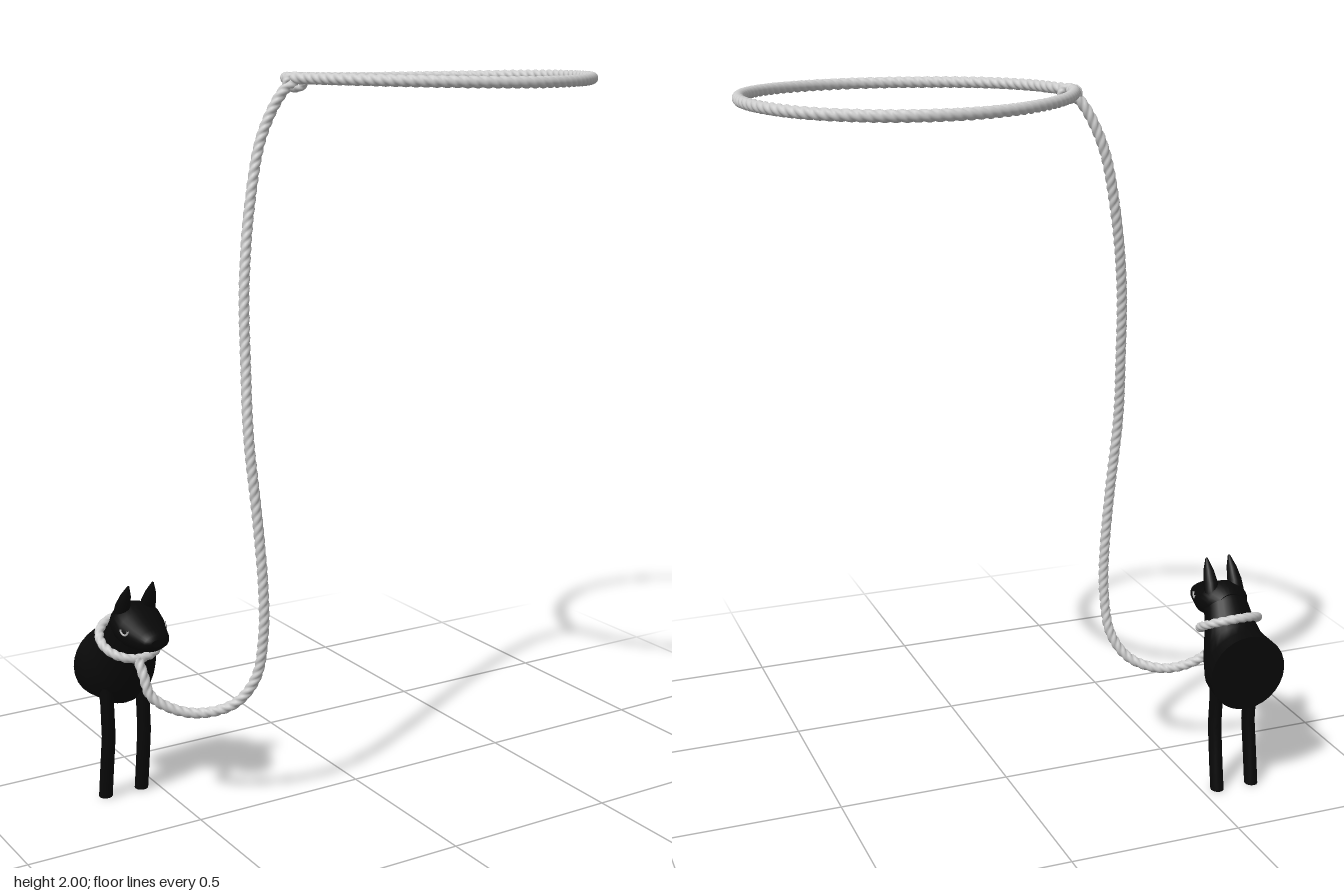
import * as THREE from 'three';
import { mergeVertices } from 'three/addons/utils/BufferGeometryUtils.js';

const CX = -0.602; // animal's centre line
const V = (x, y, z) => new THREE.Vector3(x, y, z);

const ropeMat = new THREE.MeshStandardMaterial({ color: 0xcccccc });
const coatMat = new THREE.MeshStandardMaterial({ color: 0x080808 });
const eyeMat = new THREE.MeshStandardMaterial({ color: 0xbbbbbb });

function mesh(name, geometry, material) {
  const m = new THREE.Mesh(geometry, material);
  m.name = name;
  return m;
}

// Three-strand twisted rope along a curve
function rope(name, points, closed, radius) {
  const curve = new THREE.CatmullRomCurve3(points, closed);
  curve.arcLengthDivisions = 1000;
  const length = curve.getLength();
  const steps = Math.round(length / 0.0048), sides = 18;
  const turns = Math.round(length / 0.078);
  const g = new THREE.TubeGeometry(curve, steps, radius, sides, closed);
  const pos = g.attributes.position, p = V(0, 0, 0);
  for (let i = 0; i <= steps; i++) {
    const c = curve.getPointAt(closed ? (i % steps) / steps : i / steps);
    for (let j = 0; j <= sides; j++) {
      const k = i * (sides + 1) + j;
      const a = (j / sides + (i / steps) * turns) * Math.PI * 2;
      const lobe = 0.78 + 0.24 * Math.abs(Math.cos(1.5 * a));
      p.fromBufferAttribute(pos, k).sub(c).multiplyScalar(lobe).add(c);
      pos.setXYZ(k, p.x, p.y, p.z);
    }
  }
  g.deleteAttribute('uv');
  g.deleteAttribute('normal');
  const welded = mergeVertices(g, 1e-5);
  welded.computeVertexNormals();
  return mesh(name, welded, ropeMat);
}

// Capped loft through elliptical sections: [y1, z1, y2, z2, halfWidth, x]
function loft(name, sections, sides = 20) {
  const pos = [], idx = [], n = sections.length;
  for (const [y1, z1, y2, z2, w, x = 0] of sections) {
    for (let j = 0; j < sides; j++) {
      const a = (j / sides) * Math.PI * 2, c = Math.cos(a) / 2;
      pos.push(CX + x + w * Math.sin(a), (y1 + y2) / 2 + (y1 - y2) * c, (z1 + z2) / 2 + (z1 - z2) * c);
    }
  }
  for (let i = 0; i < n - 1; i++) {
    for (let j = 0; j < sides; j++) {
      const a = i * sides + j, b = i * sides + (j + 1) % sides;
      idx.push(a, a + sides, b, b, a + sides, b + sides);
    }
  }
  // Separate cap rings keep the end edges crisp
  [0, n - 1].forEach((s, end) => {
    const [y1, z1, y2, z2, , x = 0] = sections[s];
    const start = pos.length / 3;
    pos.push(...pos.slice(s * sides * 3, (s + 1) * sides * 3));
    pos.push(CX + x, (y1 + y2) / 2, (z1 + z2) / 2);
    for (let j = 0; j < sides; j++) {
      const a = start + j, b = start + (j + 1) % sides;
      idx.push(start + sides, end ? b : a, end ? a : b);
    }
  });
  const g = new THREE.BufferGeometry();
  g.setAttribute('position', new THREE.Float32BufferAttribute(pos, 3));
  g.setIndex(idx);
  g.computeVertexNormals();
  return mesh(name, g, coatMat);
}

function buildAnimal() {
  const animal = new THREE.Group();
  animal.name = 'animal';

  // Cut-off barrel rising into the neck
  animal.add(loft('bodyAndNeck', [
    [0.49, -0.333, 0.27, -0.333, 0.115],
    [0.495, -0.305, 0.278, -0.25, 0.107],
    [0.502, -0.275, 0.33, -0.205, 0.092],
    [0.53, -0.25, 0.4, -0.175, 0.077],
    [0.565, -0.225, 0.46, -0.155, 0.067],
    [0.59, -0.19, 0.5, -0.14, 0.06],
  ], 28));

  // Head tapering to a blunt muzzle
  animal.add(loft('head', [
    [0.575, -0.215, 0.51, -0.22, 0.04],
    [0.592, -0.195, 0.495, -0.195, 0.063],
    [0.597, -0.165, 0.483, -0.155, 0.073],
    [0.582, -0.125, 0.478, -0.125, 0.069],
    [0.564, -0.085, 0.482, -0.085, 0.056],
    [0.553, -0.05, 0.488, -0.055, 0.046],
    [0.542, -0.032, 0.499, -0.035, 0.036],
    [0.53, -0.026, 0.51, -0.027, 0.018],
  ], 28));

  for (const s of [1, -1]) {
    const side = s > 0 ? 'left' : 'right';
    animal.add(loft(side + 'Ear', [
      [0.57, -0.195, 0.57, -0.148, 0.022, s * 0.038],
      [0.6, -0.18, 0.595, -0.138, 0.02, s * 0.038],
      [0.63, -0.157, 0.625, -0.127, 0.014, s * 0.037],
      [0.658, -0.128, 0.656, -0.122, 0.003, s * 0.036],
    ], 12));

    animal.add(loft(side + 'FrontLeg', [
      [0.34, -0.225, 0.34, -0.275, 0.022, s * 0.054],
      [0.28, -0.232, 0.28, -0.27, 0.019, s * 0.054],
      [0.19, -0.228, 0.19, -0.268, 0.019, s * 0.054],
      [0.08, -0.246, 0.08, -0.286, 0.019, s * 0.055],
      [0, -0.26, 0, -0.3, 0.019, s * 0.055],
    ], 12));

    // Lowered eyelid
    const lid = new THREE.TorusGeometry(0.014, 0.003, 8, 16, Math.PI);
    lid.rotateZ(Math.PI).rotateY(s * (Math.PI / 2 - 0.34));
    const eye = mesh(side + 'Eye', lid, eyeMat);
    eye.position.set(CX + s * 0.061, 0.545, -0.105);
    animal.add(eye);
  }
  return animal;
}

export function createModel() {
  const model = new THREE.Group();
  model.name = 'animalWithLasso';
  model.add(buildAnimal());

  // Tilted loop round the neck
  const collar = [];
  for (let i = 0; i < 16; i++) {
    const a = (i / 16) * Math.PI * 2, c = Math.cos(a);
    collar.push(V(CX + 0.084 * Math.sin(a), 0.485 - 0.04 * c, -0.207 + 0.07 * c));
  }
  model.add(rope('neckLoop', collar, true, 0.013));

  // Hanging lead from the neck up to the noose
  model.add(rope('lead', [
    V(-0.61, 0.445, -0.137), V(-0.605, 0.4, -0.115), V(-0.592, 0.345, -0.1),
    V(-0.53, 0.302, -0.07), V(-0.465, 0.291, -0.038), V(-0.39, 0.318, 0.005),
    V(-0.343, 0.39, 0.036), V(-0.326, 0.52, 0.053), V(-0.326, 0.65, 0.054),
    V(-0.335, 0.83, 0.045), V(-0.349, 1.06, 0.027), V(-0.34, 1.235, 0),
    V(-0.325, 1.45, -0.03), V(-0.29, 1.66, -0.058), V(-0.245, 1.84, -0.067),
    V(-0.19, 1.95, -0.05), V(-0.16, 1.975, -0.035),
  ], false, 0.0145));

  // Wide open noose
  const outline = [
    [-0.165, -0.05], [-0.1, -0.19], [0.005, -0.3], [0.137, -0.373], [0.282, -0.4],
    [0.443, -0.376], [0.576, -0.303], [0.653, -0.205], [0.697, -0.05], [0.672, 0.115],
    [0.595, 0.248], [0.462, 0.352], [0.3, 0.394], [0.137, 0.355], [-0.012, 0.262],
    [-0.107, 0.134], [-0.146, 0.02],
  ];
  model.add(rope('noose', outline.map(([x, z]) =>
    V(x, 1.982 - 0.05 * z * z, z)), true, 0.0155));

  // Small eye where the lead meets the noose
  const knot = [];
  for (let i = 0; i < 8; i++) {
    const a = (i / 8) * Math.PI * 2;
    knot.push(V(-0.163 + 0.02 * Math.cos(a), 1.972 + 0.015 * Math.sin(a), -0.037 + 0.012 * Math.cos(a)));
  }
  model.add(rope('knot', knot, true, 0.012));
  return model;
}
